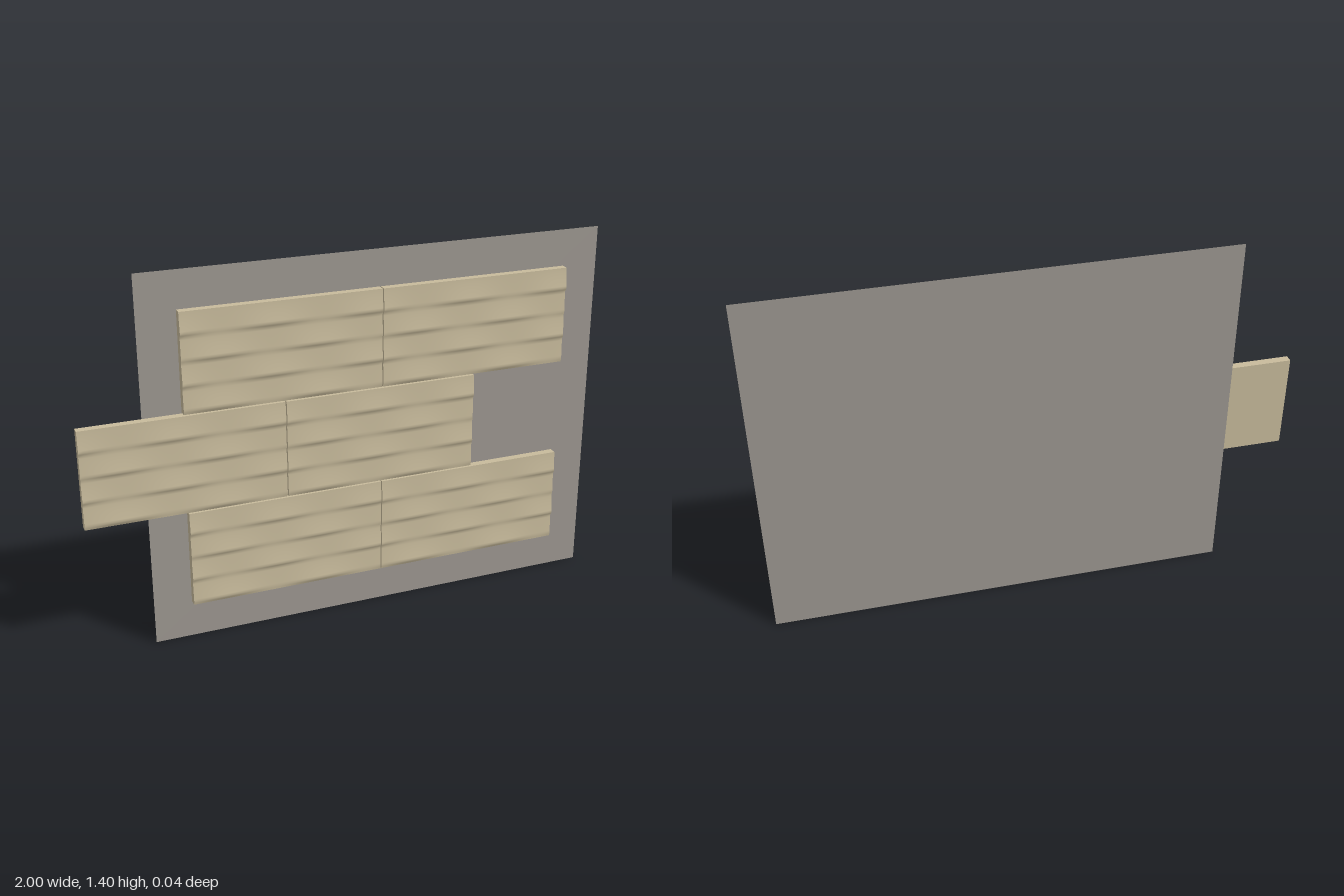
import * as THREE from 'three';

const TILE_W = 0.741, TILE_H = 0.369, BACK = -0.018, FACE = 0.012, RELIEF = 0.008;
const COURSES = 4;

// Height of the rippled stone: each course swells downward, then drops back sharply,
// with humps running along it that are staggered between courses.
function relief(u, v) {
  const row = Math.min(COURSES - 1, Math.floor(v * COURSES));
  const t = v * COURSES - row;
  const saw = t < 0.84 ? Math.pow(t / 0.84, 1.4) : (1 - t) / 0.16;
  const peak = row % 2 ? 0.17 : 0.44;
  const hump = 0.5 + 0.5 * Math.cos((u - peak) * Math.PI * 4);
  return RELIEF * saw * (0.25 + 0.75 * hump);
}

function tileGeometry() {
  const depth = FACE - BACK;
  const geo = new THREE.BoxGeometry(TILE_W, TILE_H, depth, 48, 48, 1);
  const p = geo.attributes.position;
  for (let i = 0; i < p.count; i++) {
    if (p.getZ(i) < 0) continue;
    const u = p.getX(i) / TILE_W + 0.5;
    const v = 0.5 - p.getY(i) / TILE_H;
    p.setZ(i, depth / 2 + relief(u, v));
  }
  geo.computeVertexNormals();
  return geo;
}

export function createModel() {
  const model = new THREE.Group();
  model.name = 'stoneTileWall';
  const stone = new THREE.MeshStandardMaterial({ color: 0xc8bb9c });
  stone.name = 'sandStone';
  const grey = new THREE.MeshStandardMaterial({ color: 0x9c9790, side: THREE.DoubleSide });
  grey.name = 'greyBacking';

  // Thin backing sheet
  const backing = new THREE.Mesh(new THREE.PlaneGeometry(1.77, 1.4), grey);
  backing.name = 'backingSheet';
  backing.position.set(0.115, 0.7, -0.02);
  model.add(backing);

  // Three rows of two tiles, the middle row shifted by half a tile
  const geo = tileGeometry();
  const rows = [[-0.629, 0.145], [-1, 0.519], [-0.629, 0.893]];
  rows.forEach(([left, bottom], r) => {
    const row = new THREE.Group();
    row.name = ['bottomRow', 'middleRow', 'topRow'][r];
    for (let c = 0; c < 2; c++) {
      const tile = new THREE.Mesh(geo, stone);
      tile.name = 'tile';
      tile.position.set(left + TILE_W / 2 + c * (TILE_W + 0.004), bottom + TILE_H / 2, (FACE + BACK) / 2);
      row.add(tile);
    }
    model.add(row);
  });
  return model;
}
